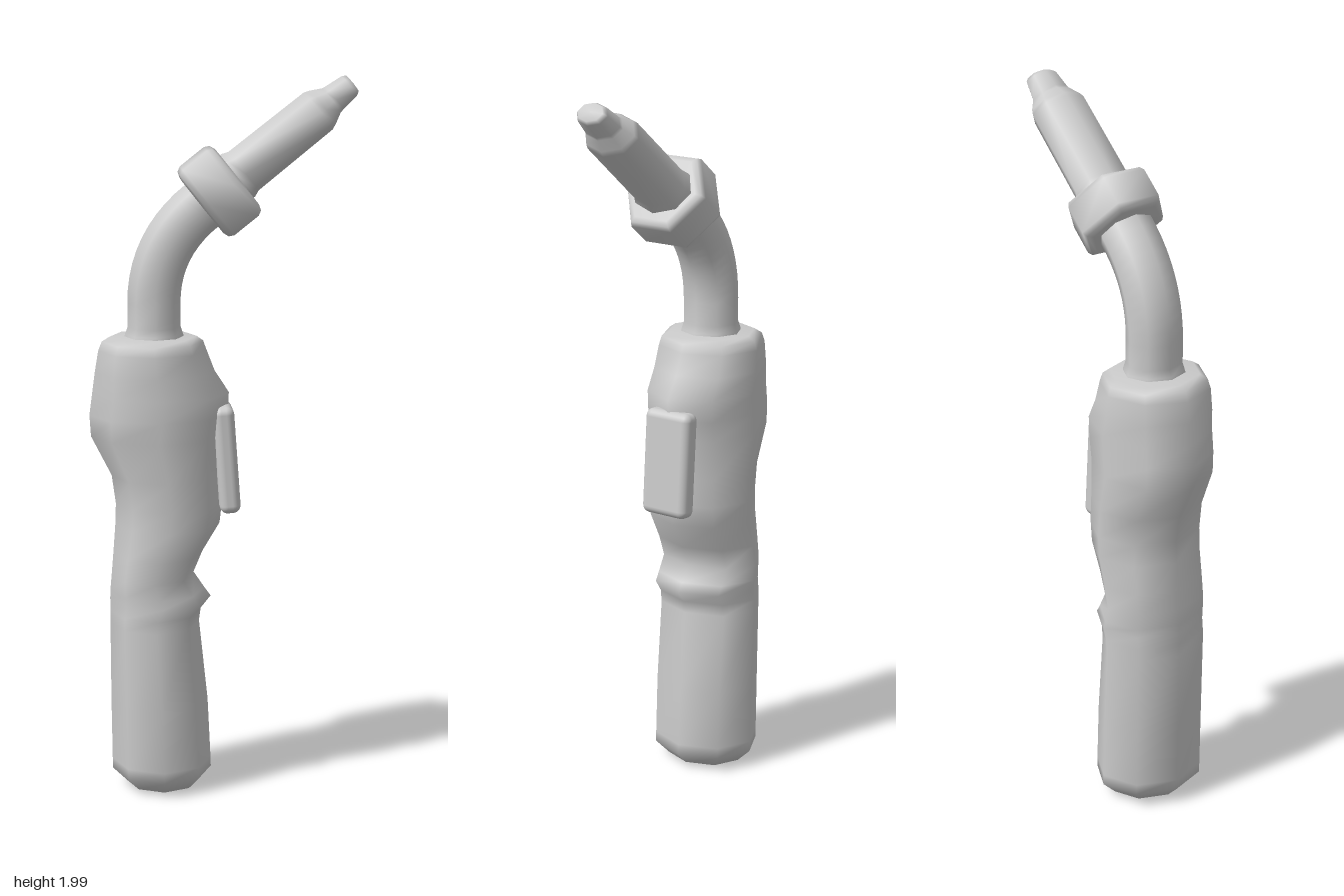
import * as THREE from 'three';
import { RoundedBoxGeometry } from 'three/addons/geometries/RoundedBoxGeometry.js';

const material = new THREE.MeshStandardMaterial({ color: 0xcccccc });

// Smooth skin over rings { x, y, angle of the axis, ru (in plane), rz (sideways) }
function loft(rings, sides, phase = 0) {
  const pos = [], index = [];
  rings.forEach(({ x, y, angle = Math.PI / 2, ru, rz }, r) => {
    for (let i = 0; i < sides; i++) {
      const a = phase + (i / sides) * Math.PI * 2;
      const u = Math.cos(a) * ru;
      pos.push(x + Math.sin(angle) * u, y - Math.cos(angle) * u, Math.sin(a) * rz);
      if (r === 0) continue;
      const j = (i + 1) % sides;
      const a0 = (r - 1) * sides + i, a1 = (r - 1) * sides + j;
      const b0 = r * sides + i, b1 = r * sides + j;
      index.push(a0, b0, a1, a1, b0, b1);
    }
  });
  const geo = new THREE.BufferGeometry();
  geo.setAttribute('position', new THREE.Float32BufferAttribute(pos, 3));
  geo.setIndex(index);
  geo.computeVertexNormals();
  return geo;
}

function part(name, geometry) {
  const mesh = new THREE.Mesh(geometry, material);
  mesh.name = name;
  return mesh;
}

export function createModel() {
  const group = new THREE.Group();
  group.name = 'weldingTorch';

  // Handle: height, back x, front x, half width
  const handle = [
    [0.005, -0.18, -0.18, 0],
    [0.012, -0.275, -0.075, 0.115],
    [0.05, -0.315, -0.037, 0.155],
    [0.08, -0.316, -0.038, 0.155],
    [0.25, -0.318, -0.046, 0.155],
    [0.48, -0.319, -0.07, 0.155],
    [0.515, -0.319, -0.065, 0.155],
    [0.55, -0.319, -0.037, 0.155],
    [0.575, -0.318, -0.055, 0.155],
    [0.62, -0.314, -0.085, 0.155],
    [0.68, -0.309, -0.06, 0.155],
    [0.76, -0.303, -0.012, 0.155],
    [0.82, -0.301, -0.005, 0.155],
    [0.9, -0.312, -0.008, 0.155],
    [1.01, -0.368, 0, 0.155],
    [1.07, -0.372, 0.012, 0.155],
    [1.13, -0.364, 0.014, 0.155],
    [1.19, -0.356, -0.025, 0.155],
    [1.25, -0.346, -0.048, 0.152],
    [1.275, -0.336, -0.057, 0.145],
    [1.288, -0.315, -0.075, 0.125],
    [1.29, -0.195, -0.195, 0],
  ].map(([y, back, front, rz]) => ({ x: (back + front) / 2, y, ru: (front - back) / 2, rz }));
  group.add(part('handle', loft(handle, 8)));

  // Trigger, leaning with the front of the handle
  const trigger = part('trigger', new RoundedBoxGeometry(0.058, 0.3, 0.15, 3, 0.022));
  trigger.position.set(0.005, 0.948, 0);
  trigger.rotation.z = 0.07;
  group.add(trigger);

  // Bent neck: straight foot with a small collar, then a curve towards the nozzle
  const tilt = THREE.MathUtils.degToRad(38.5);
  const nut = new THREE.Vector2(-0.013, 1.686);
  const along = (d) => ({ x: nut.x + Math.cos(tilt) * d, y: nut.y + Math.sin(tilt) * d, angle: tilt });
  const neck = [
    { x: -0.192, y: 1.27, ru: 0.085, rz: 0.092 },
    { x: -0.192, y: 1.295, ru: 0.08, rz: 0.086 },
    { x: -0.192, y: 1.315, ru: 0.073, rz: 0.08 },
  ];
  const bend = new THREE.QuadraticBezierCurve(
    new THREE.Vector2(-0.192, 1.38), new THREE.Vector2(-0.192, 1.542), new THREE.Vector2(-0.058, 1.648));
  for (let i = 0; i <= 10; i++) {
    const p = bend.getPoint(i / 10), t = bend.getTangent(i / 10);
    neck.push({ x: p.x, y: p.y, angle: Math.atan2(t.y, t.x), ru: 0.073, rz: 0.08 });
  }
  neck.push({ ...along(0), ru: 0.073, rz: 0.08 });
  group.add(part('neck', loft(neck, 8)));

  // Chamfered hexagonal nut: distance along the axis, radius
  const nutRings = [[-0.062, 0], [-0.062, 0.105], [-0.056, 0.122], [-0.042, 0.13],
    [0.042, 0.13], [0.056, 0.122], [0.062, 0.105], [0.062, 0]]
    .map(([d, r]) => ({ ...along(d), ru: r, rz: r }));
  group.add(part('hexNut', loft(nutRings, 6, Math.PI / 6)));

  // Nozzle and tip: distance along the axis, in-plane radius, half width
  const nozzle = [[0.03, 0.074, 0.092], [0.068, 0.074, 0.092], [0.085, 0.067, 0.085],
    [0.345, 0.064, 0.085], [0.36, 0.058, 0.08], [0.39, 0.042, 0.061], [0.4, 0.04, 0.058],
    [0.452, 0.034, 0.05], [0.463, 0.028, 0.04], [0.465, 0, 0]]
    .map(([d, ru, rz]) => ({ ...along(d), ru, rz }));
  group.add(part('nozzle', loft(nozzle, 8)));

  return group;
}
